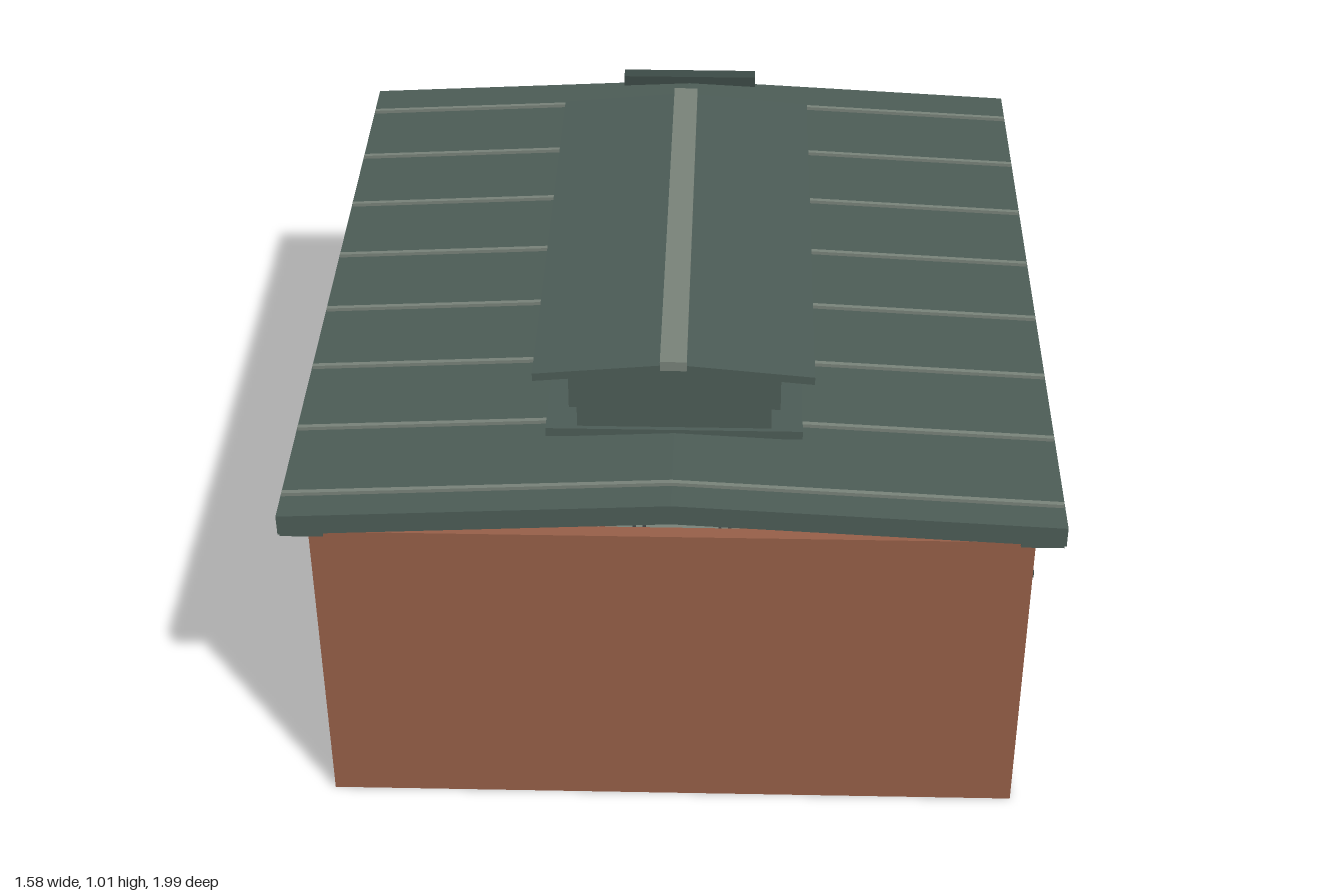
import * as THREE from 'three';

const mat = (name, color) => {
  const m = new THREE.MeshStandardMaterial({ color });
  m.name = name;
  return m;
};

export function createModel() {
  const brick = mat('brick', 0x965f48);
  const mortar = mat('mortar', 0x75594b);
  const stone = mat('pale stone', 0xa79a80);
  const green = mat('dark green metal', 0x4c5c56);
  const trim = mat('deep green trim', 0x3c4a46);
  const grey = mat('light grey', 0x788279);
  const glass = mat('window glass', 0x6d8a93);
  const ochre = mat('ochre', 0xb28a48);
  const steel = mat('dark steel', 0x3a4041);
  const rust = mat('rust brown', 0x70463a);

  const model = new THREE.Group();

  // box given by its limits on each axis
  const box = (name, m, x0, x1, y0, y1, z0, z1, parent = model) => {
    const mesh = new THREE.Mesh(new THREE.BoxGeometry(Math.abs(x1 - x0), y1 - y0, z1 - z0), m);
    mesh.position.set((x0 + x1) / 2, (y0 + y1) / 2, (z0 + z1) / 2);
    mesh.name = name;
    parent.add(mesh);
    return mesh;
  };
  // gabled slab running along z
  const gable = (name, m, halfW, ridge, eave, thick, z0, z1) => {
    const s = new THREE.Shape([
      [-halfW, eave], [-halfW, eave - thick], [0, ridge - thick],
      [halfW, eave - thick], [halfW, eave], [0, ridge],
    ].map(([x, y]) => new THREE.Vector2(x, y)));
    const mesh = new THREE.Mesh(
      new THREE.ExtrudeGeometry(s, { depth: z1 - z0, bevelEnabled: false }), m);
    mesh.position.z = z0;
    mesh.name = name;
    model.add(mesh);
  };

  // floor, apron and rails
  box('floor', grey, -0.65, 0.65, 0, 0.008, -1, 0.96);
  for (const s of [-1, 1]) {
    for (const x of [0.105, 0.21]) {
      box('rail', grey, s * x - 0.008, s * x + 0.008, 0.008, 0.014, -1, 0.95);
      for (const d of [-0.012, 0.012])
        box('railGroove', steel, s * x + d - 0.004, s * x + d + 0.004, 0.008, 0.011, -1, 0.95);
    }
    box('overheadWire', rust, s * 0.155 - 0.005, s * 0.155 + 0.005, 0.508, 0.518, -1, 0.8);
  }

  // end wall
  box('endWall', brick, -0.715, 0.715, 0, 0.715, 0.95, 0.98);

  for (const s of [-1, 1]) {
    // side wall, its base and the corner piers
    box('foundation', stone, s * 0.56, s * 0.722, 0.001, 0.09, -0.57, 0.85);
    box('sideWall', brick, s * 0.66, s * 0.715, 0.09, 0.712, -0.6, 0.95);
    box('rearCornerPier', brick, s * 0.66, s * 0.73, 0, 0.71, 0.85, 0.98);
    box('doorCornerPier', brick, s * 0.6, s * 0.73, 0.08, 0.705, -0.64, -0.5);
    box('doorSidePanel', brick, s * 0.42, s * 0.6, 0.08, 0.705, -0.635, -0.56);
    box('doorSideBase', stone, s * 0.42, s * 0.7, 0.008, 0.08, -0.62, -0.56);

    // brick courses with staggered joints
    for (let i = 0; i < 10; i++) {
      const y = 0.13 + i * 0.0605;
      if (y < 0.7) {
        box('sideCourse', mortar, s * 0.71, s * 0.724, y - 0.006, y + 0.006, -0.5, 0.85);
        box('doorCourse', mortar, s * 0.44, s * 0.715, y - 0.006, y + 0.006, -0.648, -0.6);
      }
    }

    // side windows
    for (const z of [0.645, 0.245, -0.18]) {
      const w = new THREE.Group();
      w.name = 'sideWindow';
      model.add(w);
      box('glass', glass, s * 0.71, s * 0.738, 0.32, 0.53, z - 0.09, z + 0.09, w);
      for (const e of [-1, 1]) {
        const c = z + e * 0.087;
        box('jamb', trim, s * 0.71, s * 0.76, 0.32, 0.53, c - 0.013, c + 0.013, w);
      }
      box('headRail', trim, s * 0.71, s * 0.76, 0.505, 0.53, z - 0.1, z + 0.1, w);
      box('footRail', trim, s * 0.71, s * 0.76, 0.32, 0.34, z - 0.1, z + 0.1, w);
      box('upright', trim, s * 0.71, s * 0.758, 0.32, 0.53, z - 0.009, z + 0.009, w);
      box('crossBar', trim, s * 0.71, s * 0.77, 0.417, 0.431, z - 0.09, z + 0.09, w);
      for (const e of [-1, 1])
        box('glint', grey, s * 0.736, s * 0.741, 0.37, 0.49, z + e * 0.045 - 0.004, z + e * 0.045 + 0.004, w);
      box('lintel', stone, s * 0.71, s * 0.757, 0.53, 0.557, z - 0.108, z + 0.108, w);
      box('sill', stone, s * 0.71, s * 0.757, 0.295, 0.32, z - 0.105, z + 0.105, w);
    }

    // doorway post and wall lantern
    box('doorPost', stone, s * 0.37, s * 0.44, 0.008, 0.66, -0.67, -0.56);
    const lamp = new THREE.Group();
    lamp.name = 'wallLantern';
    model.add(lamp);
    box('back', trim, s * 0.53, s * 0.61, 0.44, 0.56, -0.69, -0.63, lamp);
    box('light', ochre, s * 0.545, s * 0.595, 0.465, 0.54, -0.74, -0.68, lamp);
    box('foot', trim, s * 0.535, s * 0.605, 0.44, 0.465, -0.735, -0.68, lamp);
    box('hood', green, s * 0.53, s * 0.61, 0.54, 0.57, -0.77, -0.64, lamp);

    // bollards
    for (const x of [0.493, 0.588]) {
      box('bollard', ochre, s * x - 0.026, s * x + 0.026, 0.008, 0.19, -0.806, -0.756);
      box('bollardBand', steel, s * x - 0.028, s * x + 0.028, 0.117, 0.143, -0.808, -0.754);
    }

    // stores along the inner wall
    for (const z of [-0.15, 0.15, 0.45])
      box('storeBox', rust, s * 0.5, s * 0.64, 0.09, 0.22, z - 0.09, z + 0.09);

    // eave beam
    box('eaveBeam', green, s * 0.7, s * 0.787, 0.706, 0.752, -0.725, 0.985);
  }

  // beam over the doorway, inner trusses and lamps
  box('doorBeam', stone, -0.66, 0.66, 0.635, 0.712, -0.665, -0.56);
  for (const z of [-0.2, 0.2, 0.6]) {
    box('roofTie', trim, -0.66, 0.66, 0.665, 0.71, z - 0.02, z + 0.02);
    for (const x of [-0.3, 0.3]) {
      const bulb = new THREE.Mesh(new THREE.SphereGeometry(0.025, 10, 8), stone);
      bulb.name = 'ceilingLamp';
      bulb.position.set(x, 0.65, z);
      model.add(bulb);
    }
  }

  // main roof with standing seams
  gable('mainRoof', green, 0.79, 0.802, 0.76, 0.046, -0.73, 0.99);
  for (let i = 0; i < 8; i++) {
    const z = -0.62 + i * 0.22;
    gable('roofSeam', grey, 0.788, 0.81, 0.768, 0.02, z - 0.005, z + 0.005);
  }

  // roof lantern
  box('cupolaBase', green, -0.265, 0.265, 0.79, 0.81, -0.27, 0.75);
  box('cupolaBody', green, -0.2, 0.2, 0.8, 0.972, -0.26, 0.74);
  for (const s of [-1, 1]) {
    box('cupolaTopRail', trim, s * 0.195, s * 0.21, 0.955, 0.97, -0.265, 0.745);
    for (let i = -2; i <= 2; i++) {
      const z = 0.24 + i * 0.187;
      box('cupolaPane', trim, s * 0.19, s * 0.207, 0.835, 0.945, z - 0.08, z + 0.08);
      box('paneGlint', grey, s * 0.2, s * 0.211, 0.855, 0.925, z + 0.035, z + 0.052);
      for (const e of [-1, 1])
        box('paneJamb', green, s * 0.19, s * 0.219, 0.83, 0.95, z + e * 0.08 - 0.008, z + e * 0.08 + 0.008);
    }
  }
  gable('cupolaRoof', green, 0.285, 1.0, 0.973, 0.018, -0.315, 0.785);
  box('ridgeCap', grey, -0.027, 0.027, 0.988, 1.01, -0.32, 0.79);

  // blank name board above the doorway
  box('boardFrame', trim, -0.165, 0.165, 0.71, 0.82, -0.75, -0.715);
  box('boardPanel', green, -0.145, 0.145, 0.73, 0.8, -0.757, -0.748);
  for (const y of [0.722, 0.808])
    box('boardTrim', stone, -0.155, 0.155, y - 0.004, y + 0.004, -0.757, -0.748);
  for (const x of [-0.153, 0.153])
    box('boardTrim', stone, x - 0.004, x + 0.004, 0.722, 0.808, -0.757, -0.748);

  return model;
}
